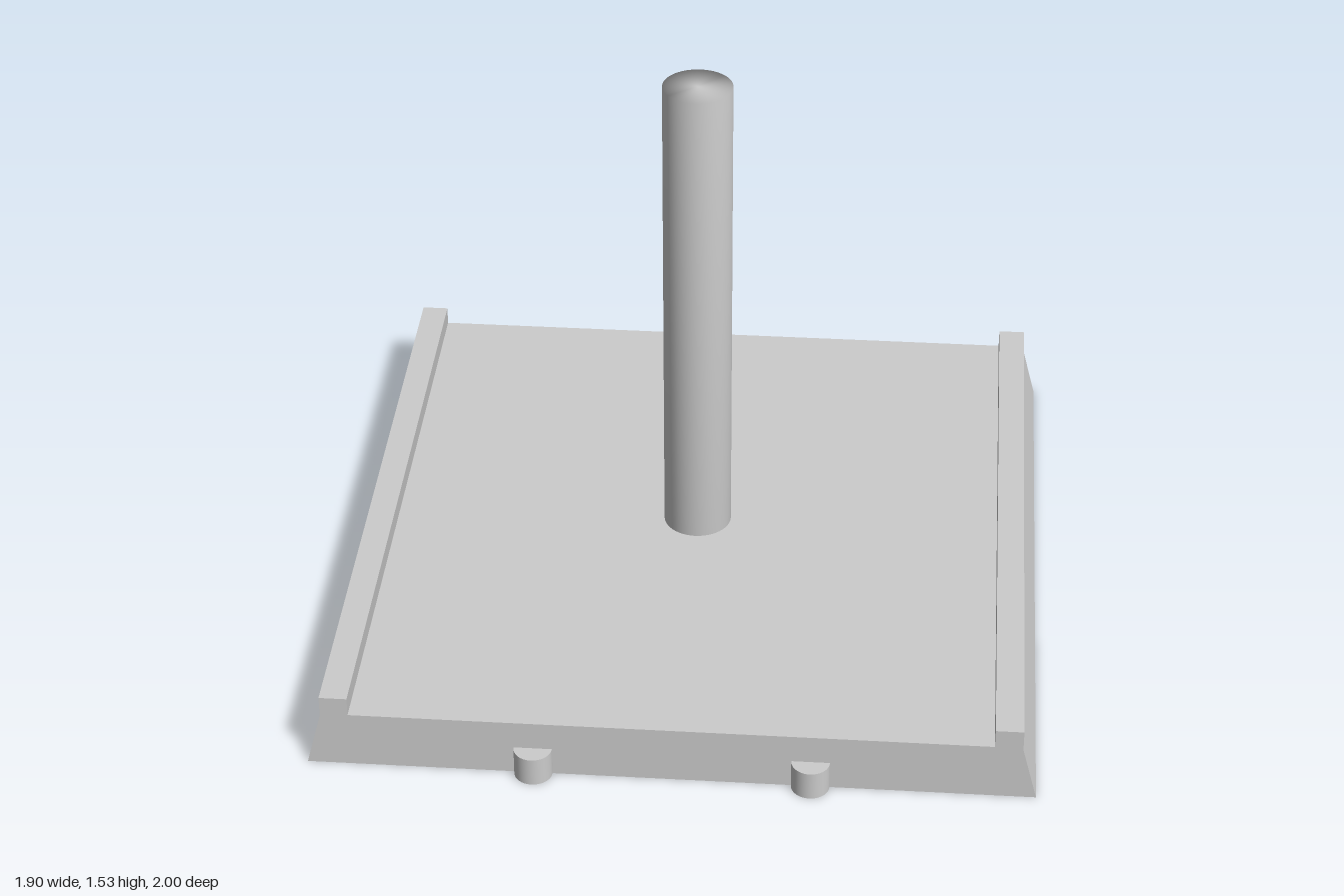
import * as THREE from 'three';

const material = new THREE.MeshStandardMaterial({ color: 0xcccccc });

export function createModel() {
  const model = new THREE.Group();
  const add = (name, geometry, x = 0, y = 0, z = 0) => {
    const mesh = new THREE.Mesh(geometry, material);
    mesh.name = name;
    mesh.position.set(x, y, z);
    model.add(mesh);
    return mesh;
  };

  // Base plate with sloped flanks and a raised lip along each side
  const half = [[0.95, 0], [0.91, 0.155], [0.91, 0.212], [0.837, 0.212], [0.837, 0.16]];
  const mirrored = half.map(([x, y]) => [-x, y]).reverse();
  const profile = new THREE.Shape([...half, ...mirrored].map(([x, y]) => new THREE.Vector2(x, y)));
  const plate = new THREE.ExtrudeGeometry(profile, { depth: 1.9, bevelEnabled: false });
  add('basePlate', plate, 0, 0, -0.95);

  // Upright pole, shaded smoothly over its flat ends
  const r = 0.093, bottom = 0.16, top = 1.53;
  const pole = [[0, bottom], [r, bottom], [r, top], [0, top]].map(([x, y]) => new THREE.Vector2(x, y));
  add('pole', new THREE.LatheGeometry(pole, 48), 0, 0, 0);

  // Half-round pegs on the front and back edges
  const peg = new THREE.CylinderGeometry(0.05, 0.05, 0.08, 24, 1, false, -Math.PI / 2, Math.PI);
  for (const x of [-0.356, 0.366]) {
    add('frontPeg', peg, x, 0.04, 0.95);
    add('backPeg', peg, x, 0.04, -0.95).rotation.y = Math.PI;
  }
  return model;
}
